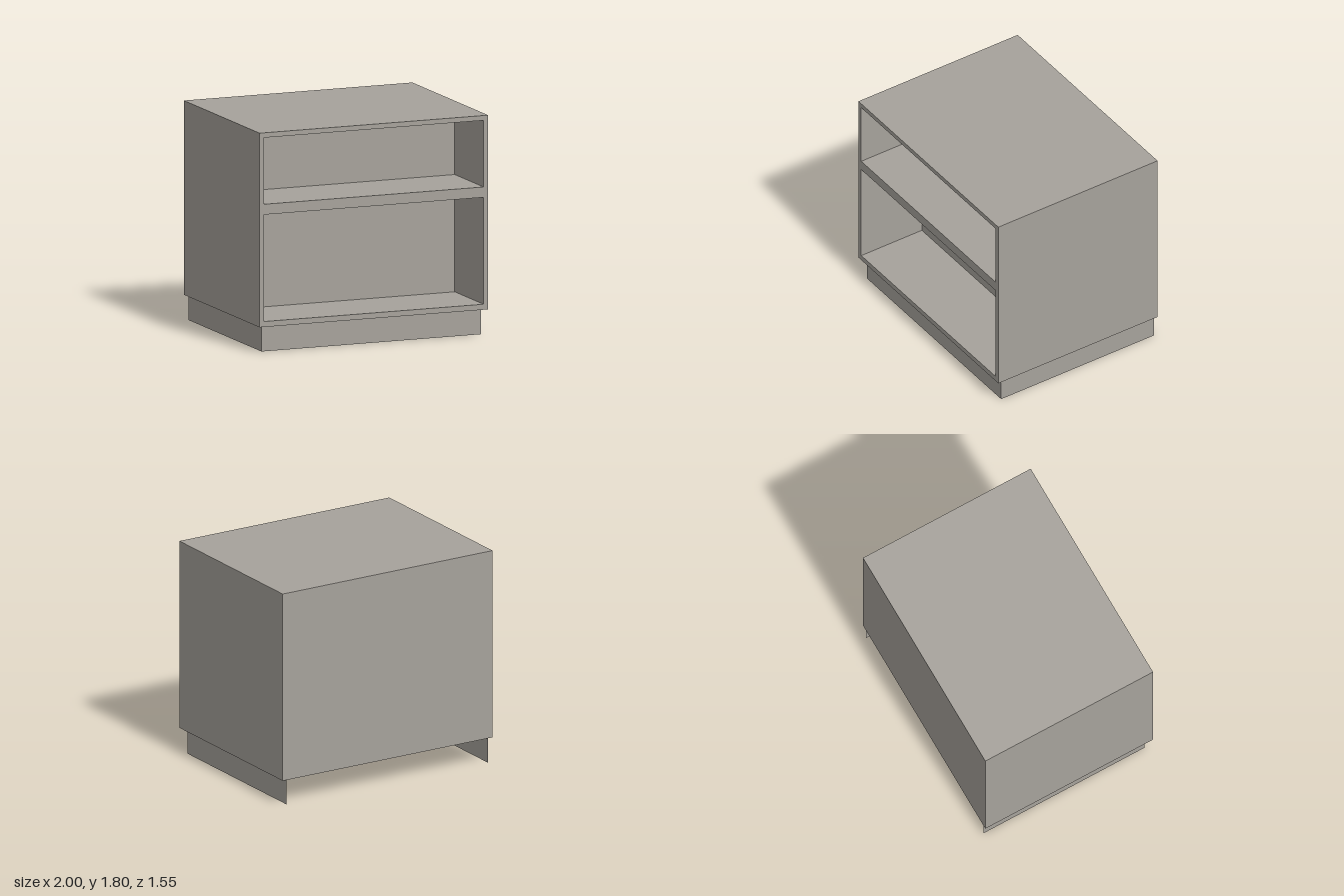
import * as THREE from 'three';

export function createModel() {
  const model = new THREE.Group();
  model.name = 'cabinet';
  const paint = new THREE.MeshStandardMaterial({ color: 0xa6a29b, side: THREE.DoubleSide });
  paint.name = 'warm grey';

  const W = 1, D = 0.775, TOP = 1.8, BASE = 0.21; // outer shell
  const IN = 0.96, BACK = 0.185, TOE = 0.72; // inner width, compartment back, plinth front
  const openings = [['lower', 0.255, 1.13], ['upper', 1.215, 1.76]];

  // Flat sheet whose front points along the rotated +z
  function sheet(parent, name, w, h, pos, rx = 0, ry = 0) {
    const mesh = new THREE.Mesh(new THREE.PlaneGeometry(w, h), paint);
    mesh.name = name;
    mesh.position.set(...pos);
    mesh.rotation.set(rx, ry, 0);
    parent.add(mesh);
  }
  const Q = Math.PI / 2;
  const h = TOP - BASE, mid = (TOP + BASE) / 2;

  // Outer shell
  sheet(model, 'topPanel', 2 * W, 2 * D, [0, TOP, 0], -Q);
  sheet(model, 'backPanel', 2 * W, h, [0, mid, -D], 0, Math.PI);
  for (const s of [1, -1]) {
    const side = s > 0 ? 'left' : 'right';
    sheet(model, side + 'Panel', 2 * D, h, [s * W, mid, 0], 0, s * Q);
    sheet(model, side + 'Plinth', TOE + 0.77, BASE, [s * IN, BASE / 2, (TOE - 0.77) / 2], 0, s * Q);
    sheet(model, side + 'Underside', W - IN, 2 * D, [s * (W + IN) / 2, BASE, 0], Q);
  }
  sheet(model, 'frontPlinth', 2 * IN, BASE, [0, BASE / 2, TOE]);
  sheet(model, 'frontUnderside', 2 * IN, D - TOE, [0, BASE, (D + TOE) / 2], Q);

  // Front frame with two openings
  const rect = (path, x, y0, y1) =>
    path.moveTo(-x, y0).lineTo(x, y0).lineTo(x, y1).lineTo(-x, y1).closePath();
  const face = new THREE.Shape();
  rect(face, W, BASE, TOP);
  for (const [, y0, y1] of openings) {
    const hole = new THREE.Path();
    rect(hole, IN, y0, y1);
    face.holes.push(hole);
  }
  const frame = new THREE.Mesh(new THREE.ShapeGeometry(face), paint);
  frame.name = 'frontFrame';
  frame.position.z = D;
  model.add(frame);

  // Open compartments, hollow behind
  for (const [label, y0, y1] of openings) {
    const box = new THREE.Group();
    box.name = label + 'Compartment';
    const y = (y0 + y1) / 2, z = (D + BACK) / 2, depth = D - BACK;
    sheet(box, 'compartmentBack', 2 * IN, y1 - y0, [0, y, BACK]);
    sheet(box, 'compartmentFloor', 2 * IN, depth, [0, y0, z], -Q);
    sheet(box, 'compartmentCeiling', 2 * IN, depth, [0, y1, z], Q);
    for (const s of [1, -1])
      sheet(box, s > 0 ? 'leftWall' : 'rightWall', depth, y1 - y0, [s * IN, y, z], 0, -s * Q);
    model.add(box);
  }
  return model;
}
